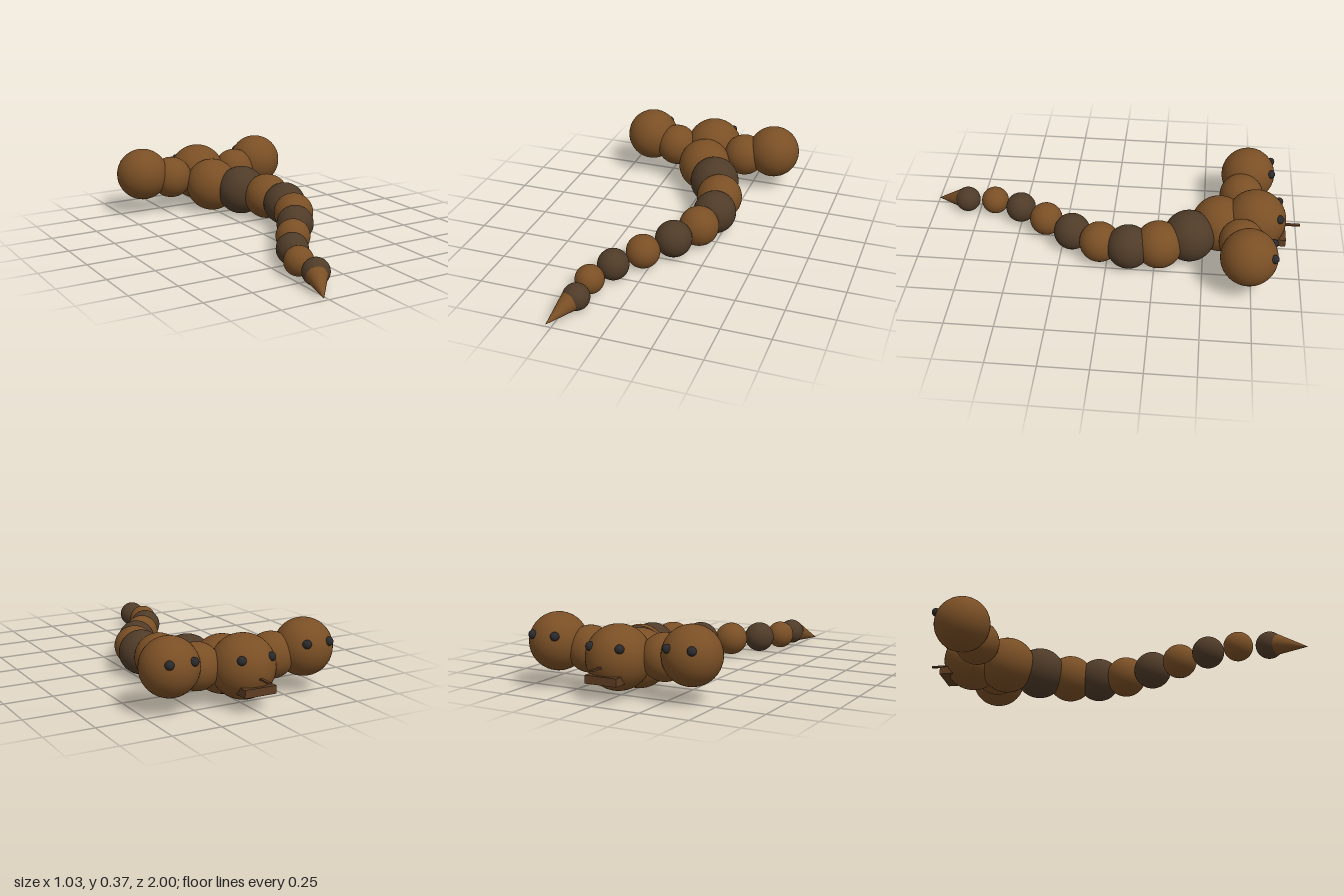
import * as THREE from 'three';

const material = (name, color) => {
  const m = new THREE.MeshStandardMaterial({ color });
  m.name = name;
  return m;
};

export function createModel() {
  const brown = material('brown', 0x7a4f25);
  const darkBrown = material('darkBrown', 0x4f3b28);
  const jawBrown = material('jawBrown', 0x5e3d22);
  const eyeBlack = material('eyeBlack', 0x2a2a2c);

  const model = new THREE.Group();
  model.name = 'threeHeadedSerpent';

  const add = (parent, name, geometry, mat, x, y, z) => {
    const mesh = new THREE.Mesh(geometry, mat);
    mesh.name = name;
    mesh.position.set(x, y, z);
    parent.add(mesh);
    return mesh;
  };
  const ball = (parent, name, r, mat, x, y, z) =>
    add(parent, name, new THREE.SphereGeometry(r, 40, 28), mat, x, y, z);

  // Winding body: alternating balls that shrink towards the tail
  const radii = [0.147, 0.135, 0.124, 0.115, 0.106, 0.097, 0.088, 0.081, 0.074, 0.068];
  radii.forEach((r, i) => {
    ball(model, `bodySegment${i + 1}`, r, i % 2 ? darkBrown : brown,
      0.205 * Math.sin(0.55 * i), r + 0.002, -0.58 + 0.155 * i);
  });

  // Pointed tail tip
  const base = new THREE.Vector3(-0.217, 0.062, 0.85);
  const tip = new THREE.Vector3(-0.278, 0.012, 1.0);
  const axis = tip.clone().sub(base);
  const mid = base.clone().add(tip).multiplyScalar(0.5);
  const tail = add(model, 'tailTip', new THREE.ConeGeometry(0.053, axis.length(), 32), brown, mid.x, mid.y, mid.z);
  tail.quaternion.setFromUnitVectors(new THREE.Vector3(0, 1, 0), axis.normalize());

  // A head with a pair of eyes
  const head = (name, r, x, y, z, eyeX, eyeY, eyeZ) => {
    const group = new THREE.Group();
    group.name = name;
    group.position.set(x, y, z);
    ball(group, 'skull', r, brown, 0, 0, 0);
    for (const s of [-1, 1]) {
      ball(group, s > 0 ? 'leftEye' : 'rightEye', 0.022, eyeBlack, s * eyeX, eyeY, eyeZ);
    }
    model.add(group);
    return group;
  };

  // Middle head with jaw and tongue
  const middle = head('middleHead', 0.158, 0, 0.187, -0.768, 0.08, 0.065, -0.118);
  add(middle, 'jaw', new THREE.BoxGeometry(0.17, 0.04, 0.09), jawBrown, 0, -0.083, -0.115);
  add(middle, 'tongue', new THREE.BoxGeometry(0.015, 0.008, 0.1), jawBrown, 0, -0.022, -0.182);

  // Side necks and heads
  for (const s of [-1, 1]) {
    const side = s > 0 ? 'left' : 'right';
    ball(model, `${side}Neck`, 0.116, brown, s * 0.206, 0.194, -0.692);
    head(`${side}Head`, 0.144, s * 0.369, 0.224, -0.727, 0.063, 0.046, -0.121);
  }
  return model;
}
